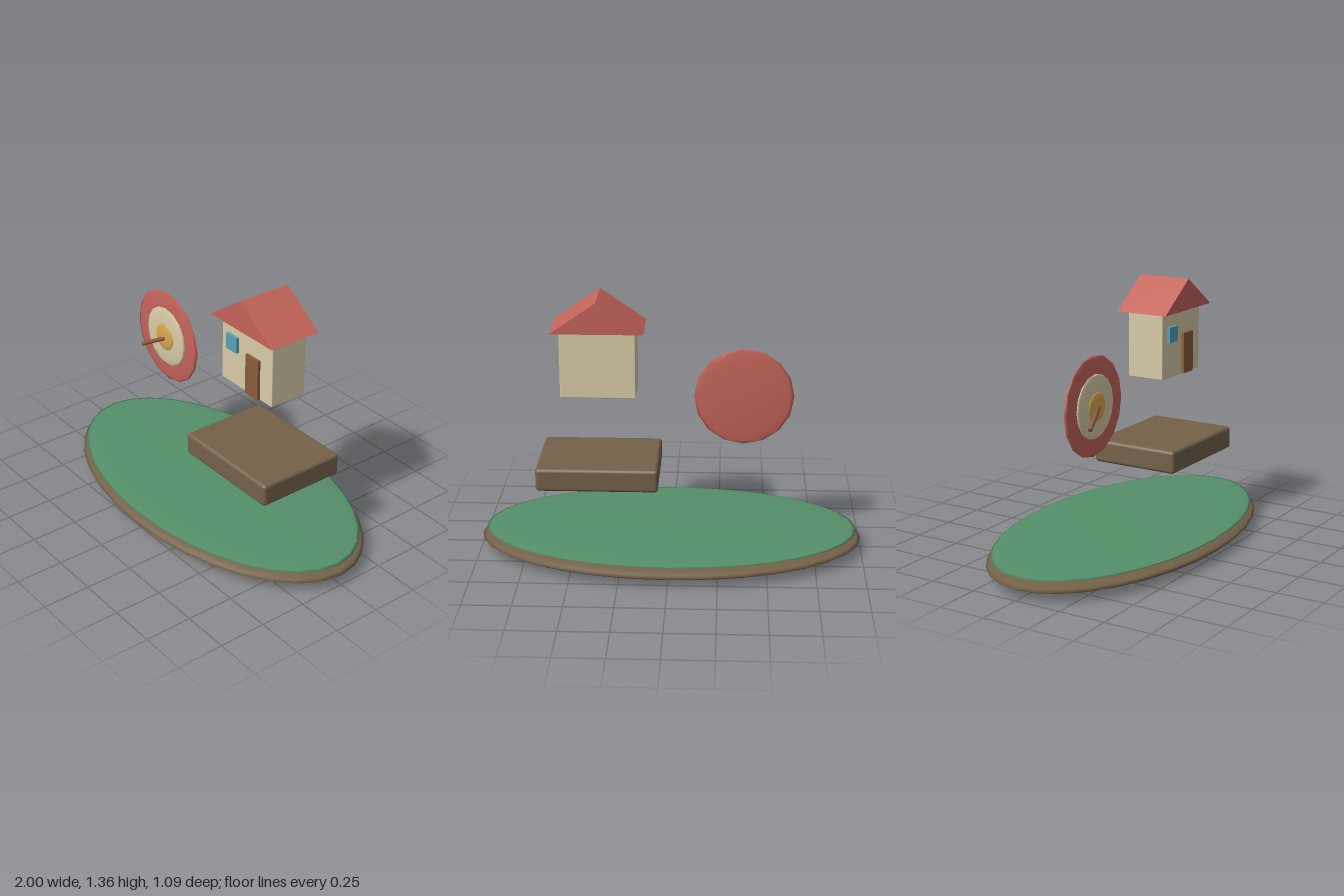
import * as THREE from 'three';
import { RoundedBoxGeometry } from 'three/addons/geometries/RoundedBoxGeometry.js';

const mat = (color) => new THREE.MeshStandardMaterial({ color });
const red = mat(0xc4645a);
const cream = mat(0xd8cca8);
const soil = mat(0x746149);
const grass = mat(0x55906a);
const gold = mat(0xd9a84e);
const wood = mat(0x8a5c3a);
const glass = mat(0x55a3b8);

function add(parent, name, geometry, material, x, y, z) {
  const mesh = new THREE.Mesh(geometry, material);
  mesh.name = name;
  mesh.position.set(x, y, z);
  parent.add(mesh);
  return mesh;
}

// Sphere flattened to an ellipsoid with the given half sizes
function ellipsoid(rx, ry, rz, around, down) {
  return new THREE.SphereGeometry(1, around, down).scale(rx, ry, rz);
}

function createIsland() {
  const g = new THREE.Group();
  g.name = 'island';
  add(g, 'soilBase', ellipsoid(1, 0.058, 0.545, 32, 16), soil, 0, 0.058, 0);
  add(g, 'grassTop', ellipsoid(0.975, 0.017, 0.522, 32, 16), grass, 0, 0.105, 0);
  return g;
}

function createTarget() {
  const g = new THREE.Group();
  g.name = 'target';
  // Three nested discs, each a little further forward
  [
    ['outerRing', 0.258, 0.014, 0.036, red],
    ['middleRing', 0.165, 0.012, 0.047, cream],
    ['bullseye', 0.075, 0.01, 0.057, gold],
  ].forEach(([name, r, depth, z, m]) =>
    add(g, name, ellipsoid(r, r, depth, 16, 8), m, -0.375, 0.82, z));

  // Arrow shaft stuck in the bullseye
  const tail = new THREE.Vector3(-0.51, 0.738, 0.106);
  const tip = new THREE.Vector3(-0.363, 0.82, 0.06);
  const dir = tip.clone().sub(tail);
  const mid = tip.clone().add(tail).multiplyScalar(0.5);
  const shaft = add(g, 'arrowShaft', new THREE.CylinderGeometry(0.011, 0.011, dir.length(), 8),
    wood, mid.x, mid.y, mid.z);
  shaft.quaternion.setFromUnitVectors(new THREE.Vector3(0, 1, 0), dir.normalize());
  return g;
}

function createHouse() {
  const g = new THREE.Group();
  g.name = 'house';
  add(g, 'walls', new RoundedBoxGeometry(0.385, 0.35, 0.206, 2, 0.005), cream, 0.368, 1.024, 0);
  add(g, 'door', new THREE.BoxGeometry(0.096, 0.217, 0.02), wood, 0.423, 0.96, 0.108);
  add(g, 'window', new THREE.BoxGeometry(0.082, 0.083, 0.018), glass, 0.265, 1.081, 0.11);

  // Gabled roof with its ridge running front to back
  const gable = new THREE.Shape([
    new THREE.Vector2(-0.236, 0),
    new THREE.Vector2(0.236, 0),
    new THREE.Vector2(0, 0.163),
  ]);
  const roof = new THREE.ExtrudeGeometry(gable, { depth: 0.29, bevelEnabled: false });
  add(g, 'roof', roof.translate(0, 0, -0.145), red, 0.369, 1.198, 0);
  return g;
}

export function createModel() {
  const model = new THREE.Group();
  model.name = 'floatingScene';
  model.add(createIsland(), createTarget(), createHouse());
  // Floating slab below the house
  add(model, 'slab', new RoundedBoxGeometry(0.625, 0.121, 0.484, 3, 0.018), soil, 0.371, 0.45, 0);
  return model;
}
